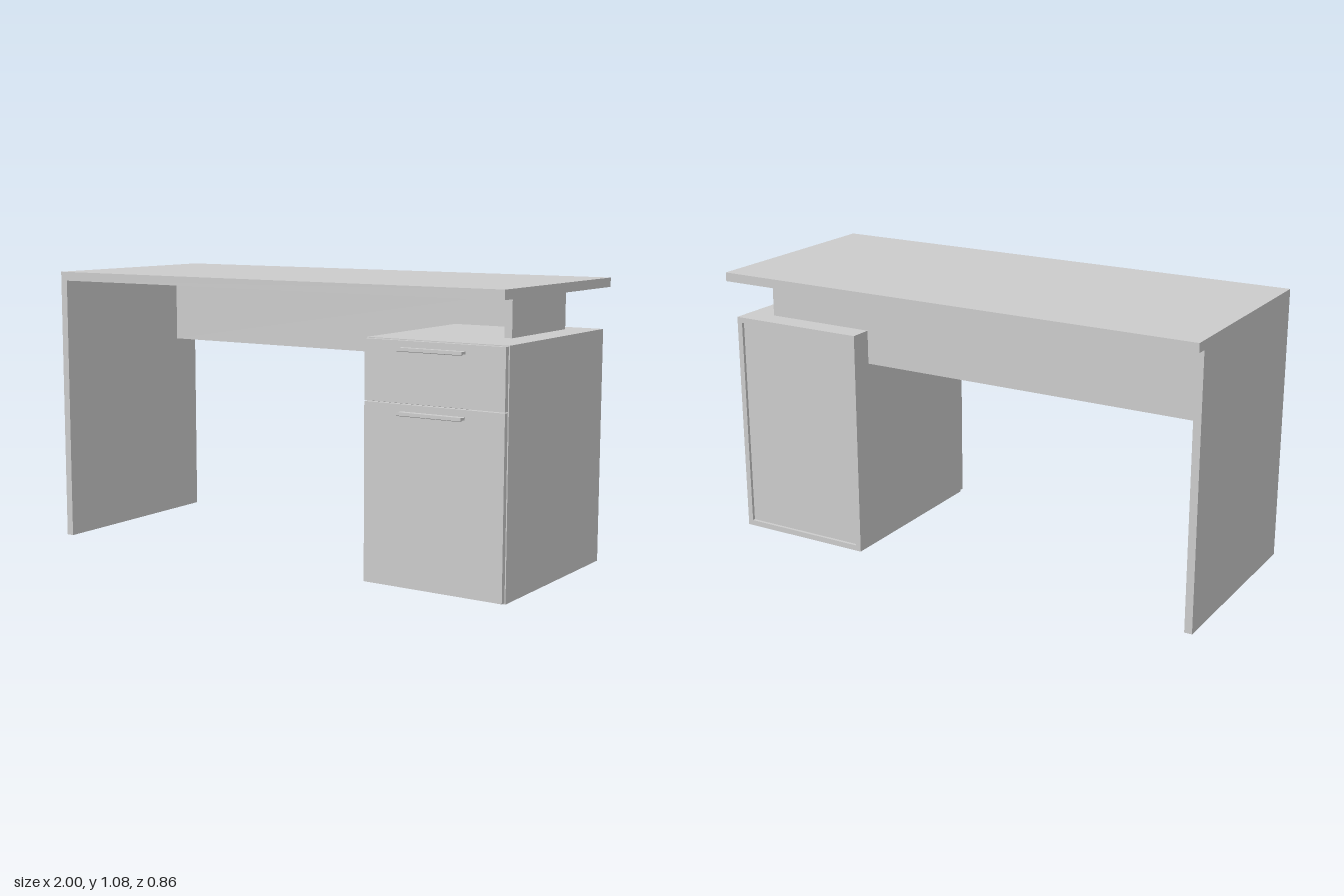
import * as THREE from 'three';

const material = new THREE.MeshStandardMaterial({ color: 0xcccccc });

// Box given by its extents along each axis
function panel(parent, name, [x0, x1], [y0, y1], [z0, z1]) {
  const mesh = new THREE.Mesh(new THREE.BoxGeometry(x1 - x0, y1 - y0, z1 - z0), material);
  mesh.position.set((x0 + x1) / 2, (y0 + y1) / 2, (z0 + z1) / 2);
  mesh.name = name;
  parent.add(mesh);
  return mesh;
}

function group(parent, name) {
  const g = new THREE.Group();
  g.name = name;
  parent.add(g);
  return g;
}

// Handle bar: a slim profile that flares toward its outer lip
function handle(parent, y) {
  const shape = new THREE.Shape();
  [[0.398, -0.004], [0.412, -0.003], [0.428, -0.007], [0.43, -0.005],
    [0.43, 0.007], [0.412, 0.005], [0.398, 0.006]]
    .forEach(([z, h], i) => (i ? shape.lineTo(-z, h) : shape.moveTo(-z, h)));
  const geometry = new THREE.ExtrudeGeometry(shape, { depth: 0.256, bevelEnabled: false });
  geometry.rotateY(Math.PI / 2);
  const mesh = new THREE.Mesh(geometry, material);
  mesh.position.set(0.584, y, 0);
  mesh.name = 'drawerHandle';
  parent.add(mesh);
}

export function createModel() {
  const desk = new THREE.Group();
  desk.name = 'desk';

  // Desktop and the slab leg at one end
  panel(desk, 'desktop', [-1, 1], [1.045, 1.08], [-0.427, 0.427]);
  panel(desk, 'sidePanel', [-1, -0.97], [0, 1.045], [-0.383, 0.427]);

  // Modesty panel, notched to pass over the cabinet
  const outline = new THREE.Shape();
  outline.moveTo(-0.97, 0.758);
  outline.lineTo(0.43, 0.758);
  outline.lineTo(0.43, 0.89);
  outline.lineTo(0.853, 0.89);
  outline.lineTo(0.853, 1.045);
  outline.lineTo(-0.97, 1.045);
  const modesty = new THREE.Mesh(
    new THREE.ExtrudeGeometry(outline, { depth: 0.03, bevelEnabled: false }), material);
  modesty.position.z = -0.288;
  modesty.name = 'modestyPanel';
  desk.add(modesty);

  // Riser between cabinet and desktop
  panel(desk, 'riser', [0.853, 0.883], [0.89, 1.045], [-0.288, 0.143]);

  // Corner brackets under the desktop
  for (const x of [-0.66, -0.24, 0.195]) {
    const bracket = group(desk, 'bracket');
    panel(bracket, 'bracketTop', [x - 0.02, x + 0.02], [1.041, 1.045], [-0.258, -0.228]);
    panel(bracket, 'bracketBack', [x - 0.02, x + 0.02], [1.015, 1.041], [-0.258, -0.254]);
    for (const s of [-1, 1]) {
      const edge = x + s * 0.018;
      panel(bracket, 'bracketRib', [edge - 0.002, edge + 0.002], [1.026, 1.041], [-0.254, -0.236]);
    }
    const screw = new THREE.Mesh(new THREE.CylinderGeometry(0.007, 0.007, 0.005, 16), material);
    screw.rotation.x = Math.PI / 2;
    screw.position.set(x, 1.028, -0.252);
    screw.name = 'screw';
    bracket.add(screw);
  }

  // Cabinet carcass with a slightly recessed back
  const cabinet = group(desk, 'cabinet');
  const depth = [-0.378, 0.378];
  panel(cabinet, 'cabinetSide', [0.43, 0.452], [0, 0.89], depth);
  panel(cabinet, 'cabinetSide', [0.974, 0.996], [0, 0.89], depth);
  panel(cabinet, 'cabinetTop', [0.452, 0.974], [0.868, 0.89], depth);
  panel(cabinet, 'cabinetBottom', [0.452, 0.974], [0, 0.022], depth);
  panel(cabinet, 'cabinetBack', [0.452, 0.974], [0.022, 0.868], [-0.366, -0.354]);

  // Drawer fronts and handles
  for (const [y0, y1, handleY] of [[0.005, 0.663, 0.632], [0.667, 0.887, 0.858]]) {
    const drawer = group(cabinet, 'drawer');
    panel(drawer, 'drawerFront', [0.433, 0.993], [y0, y1], [0.38, 0.4]);
    handle(drawer, handleY);
  }

  return desk;
}
